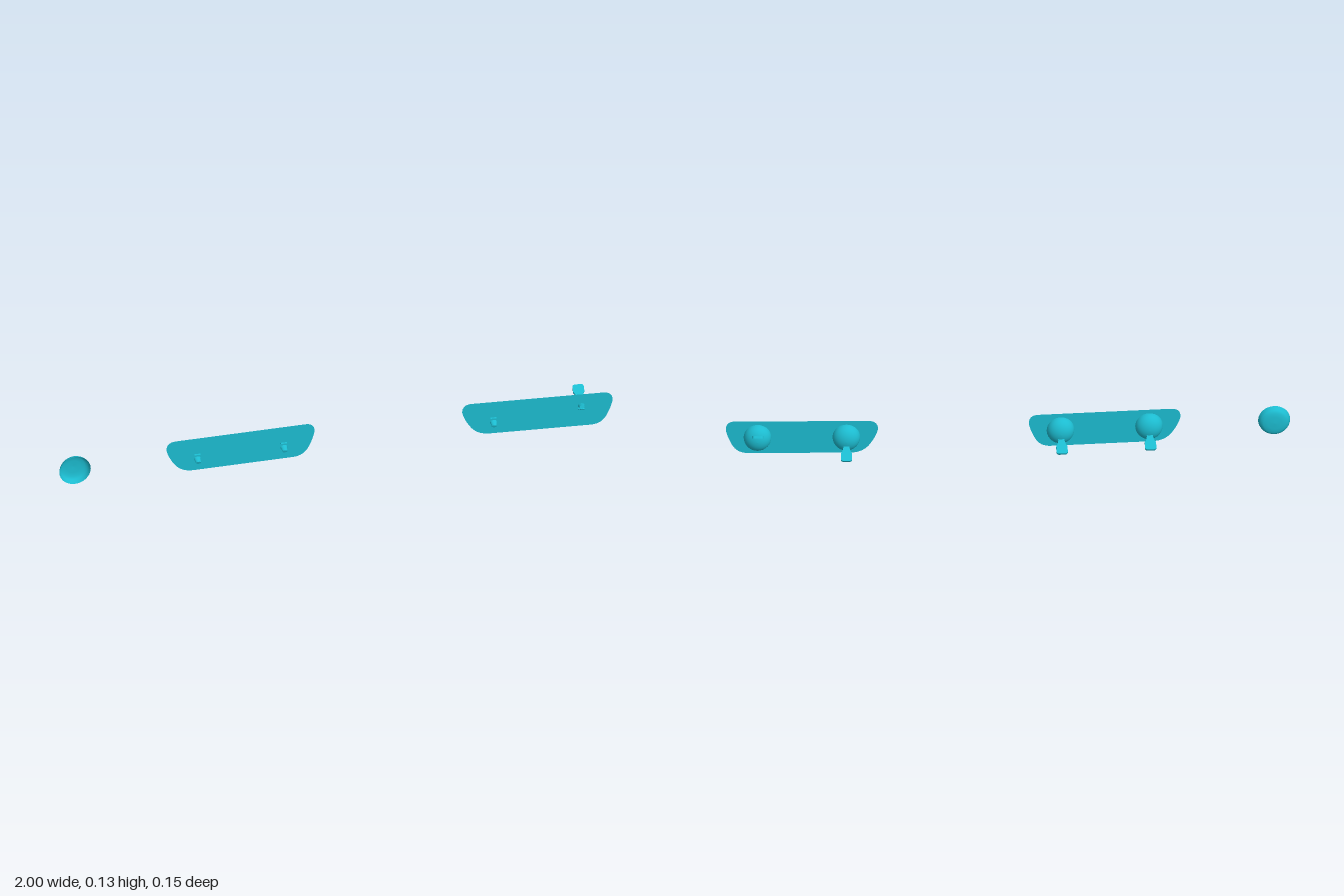
import * as THREE from 'three';

const material = new THREE.MeshStandardMaterial({ color: 0x1cbcd0, side: THREE.DoubleSide });

function addMesh(parent, name, geometry) {
  const mesh = new THREE.Mesh(geometry, material);
  mesh.name = name;
  parent.add(mesh);
  return mesh;
}

// Thin plate outline: rounded top corners, cut-away lower corners
function plateGeometry() {
  const s = new THREE.Shape();
  s.moveTo(-0.235, 0.132);
  s.lineTo(0.235, 0.132);
  s.quadraticCurveTo(0.269, 0.132, 0.269, 0.098);
  s.quadraticCurveTo(0.264, 0.068, 0.247, 0.035);
  s.quadraticCurveTo(0.23, 0, 0.19, 0);
  s.lineTo(-0.17, 0);
  s.quadraticCurveTo(-0.212, 0, -0.236, 0.03);
  s.quadraticCurveTo(-0.262, 0.065, -0.269, 0.098);
  s.quadraticCurveTo(-0.269, 0.132, -0.235, 0.132);
  return new THREE.ShapeGeometry(s, 8);
}

// Flat lever with a narrow neck and a wider rounded paddle
function leverGeometry() {
  const s = new THREE.Shape();
  s.moveTo(-0.011, 0);
  s.lineTo(-0.011, 0.045);
  s.quadraticCurveTo(-0.013, 0.06, -0.02, 0.068);
  s.lineTo(-0.02, 0.09);
  s.quadraticCurveTo(-0.018, 0.097, -0.01, 0.097);
  s.lineTo(0.01, 0.097);
  s.quadraticCurveTo(0.018, 0.097, 0.02, 0.09);
  s.lineTo(0.02, 0.068);
  s.quadraticCurveTo(0.013, 0.06, 0.011, 0.045);
  s.lineTo(0.011, 0);
  const g = new THREE.ExtrudeGeometry(s, { depth: 0.009, bevelEnabled: false, curveSegments: 5 });
  return g.translate(0, 0, -0.0045);
}

// Dome, lever and the small nub that shows through the plate; dir is 1 for up, -1 for down
function addSwitch(parent, x, dir) {
  const group = new THREE.Group();
  group.name = 'switch';
  group.position.set(x, 0.067, 0);
  parent.add(group);

  const profile = [];
  for (let i = 0; i <= 10; i++) {
    const a = (i / 10) * Math.PI / 2;
    profile.push(new THREE.Vector2(0.049 * Math.cos(a), 0.038 * Math.sin(a)));
  }
  const dome = addMesh(group, 'dome', new THREE.LatheGeometry(profile, 28));
  dome.rotation.x = -Math.PI / 2;
  dome.scale.z = 1.05;
  dome.position.z = -0.002;

  const lever = addMesh(group, 'lever', leverGeometry());
  lever.rotation.x = -(Math.PI / 2 - dir * 0.56);

  const nub = addMesh(group, 'nub', new THREE.CylinderGeometry(0.009, 0.013, 0.022, 12));
  nub.rotation.x = Math.PI / 2 - dir * 0.3;
  nub.scale.z = 0.65;
  nub.position.set(0, dir * 0.022, 0.009);
}

function addPanel(parent, name, x, z, turn, directions) {
  const panel = new THREE.Group();
  panel.name = name;
  panel.position.set(x, 0, z);
  panel.rotation.y = turn;
  parent.add(panel);
  addMesh(panel, 'plate', plateGeometry());
  directions.forEach((dir, i) => addSwitch(panel, i ? 0.157 : -0.157, dir));
}

export function createModel() {
  const model = new THREE.Group();
  model.name = 'switchPanels';

  addPanel(model, 'middlePanel', -0.342, 0.011, 0, [-1, -1]);
  addPanel(model, 'leftPanel', 0.729, 0.04, -0.078, [-1, 1]);

  // Shallow round dish, open to the front
  const dishProfile = [
    [0, 0], [0.025, 0.001], [0.04, 0.003], [0.049, 0.008], [0.054, 0.016], [0.057, 0.026],
  ].map(([r, h]) => new THREE.Vector2(r, h));
  const dish = addMesh(model, 'dish', new THREE.LatheGeometry(dishProfile, 32));
  dish.rotation.x = Math.PI / 2;
  dish.position.set(-0.943, 0.066, -0.014);

  return model;
}
